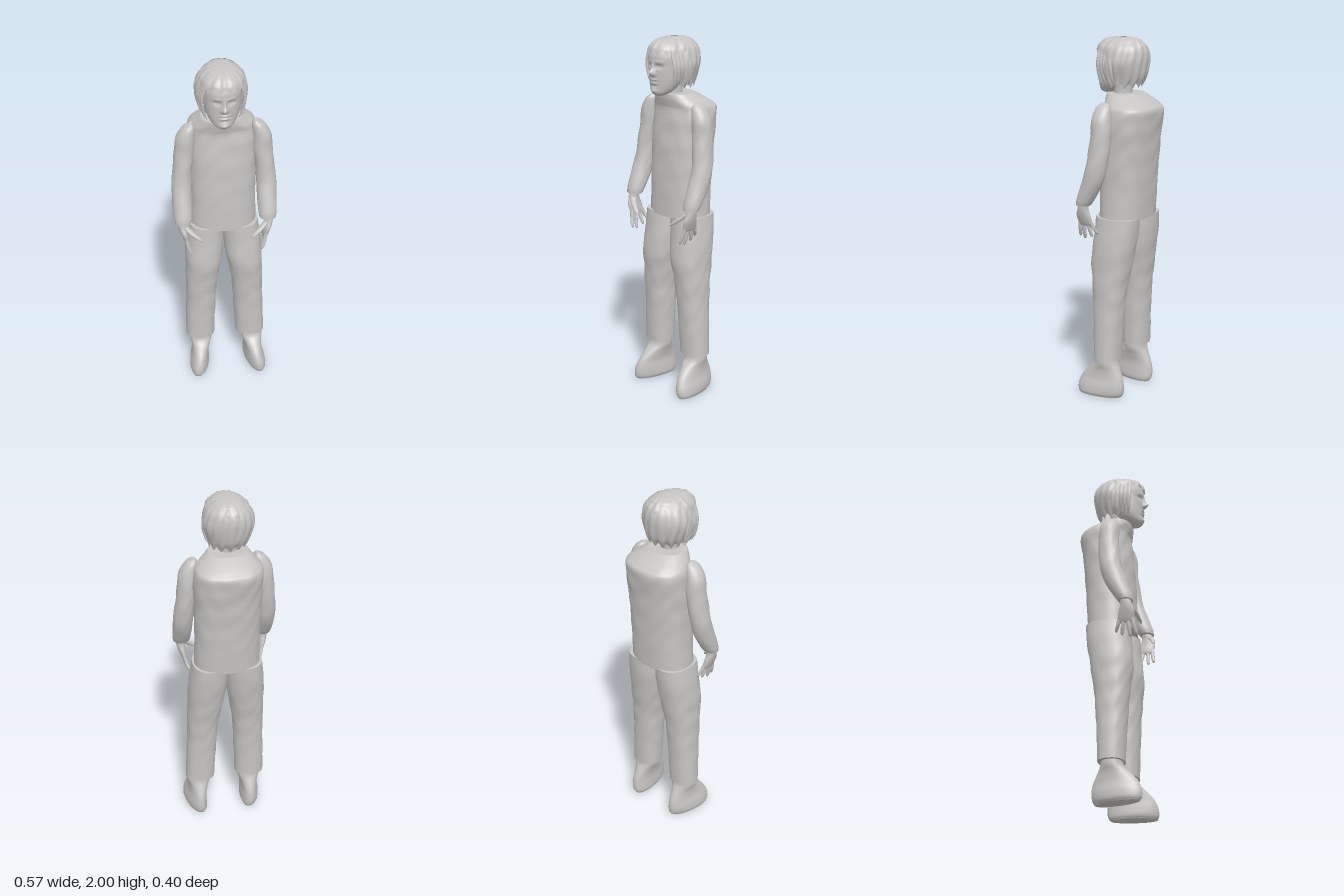
import * as THREE from 'three';

const grey = new THREE.MeshStandardMaterial({ color: 0xc6c5c3, side: THREE.DoubleSide });
grey.name = 'plain grey';

// Smooth loft through horizontal rings [y, x, z, rx, rz].
// Options: seg, rows per span, pow (2 = ellipse, more = boxier), arc [from, to], warp(v, angle, t).
function loft(name, rings, { seg = 28, rows = 5, pow = 2, arc = null, warp = null, side = 1, dx = 0, cap = true } = {}) {
  const list = rings[0][0] < rings[rings.length - 1][0] ? rings : [...rings].reverse();
  const centres = new THREE.CatmullRomCurve3(list.map(r => new THREE.Vector3(side * r[1] + dx * (1 - r[0]), r[0], r[2])), false, 'catmullrom');
  const radii = new THREE.CatmullRomCurve3(list.map(r => new THREE.Vector3(r[3], r[4], 0)), false, 'catmullrom');
  const n = (list.length - 1) * rows, cols = arc ? seg + 1 : seg;
  const pos = [], idx = [], v = new THREE.Vector3();
  const [a0, a1] = arc || [0, Math.PI * 2];
  const bend = c => Math.sign(c) * Math.pow(Math.abs(c), 2 / pow);
  for (let i = 0; i <= n; i++) {
    const t = i / n, c = centres.getPoint(t), r = radii.getPoint(t);
    for (let j = 0; j < cols; j++) {
      const a = a0 + (a1 - a0) * j / seg;
      v.set(c.x + bend(Math.cos(a)) * Math.max(r.x, 0.001), c.y, c.z + bend(Math.sin(a)) * Math.max(r.y, 0.001));
      if (warp) warp(v, a, t, c);
      pos.push(v.x, v.y, v.z);
    }
  }
  for (let i = 0; i < n; i++) for (let j = 0; j < seg; j++) {
    const p = i * cols + j, q = i * cols + (j + 1) % cols;
    idx.push(p, p + cols, q, q, p + cols, q + cols);
  }
  // End caps with their own vertices, for a crisp rim
  if (cap && !arc) for (const [row, up] of [[0, false], [n, true]]) {
    const base = pos.length / 3, mid = new THREE.Vector3();
    for (let j = 0; j < seg; j++) {
      const k = (row * cols + j) * 3;
      pos.push(pos[k], pos[k + 1], pos[k + 2]);
      mid.add(v.set(pos[k], pos[k + 1], pos[k + 2]));
    }
    mid.divideScalar(seg);
    pos.push(mid.x, mid.y, mid.z);
    for (let j = 0; j < seg; j++) {
      const p = base + j, q = base + (j + 1) % seg;
      idx.push(...(up ? [p, base + seg, q] : [p, q, base + seg]));
    }
  }
  const g = new THREE.BufferGeometry();
  g.setAttribute('position', new THREE.Float32BufferAttribute(pos, 3));
  g.setIndex(idx);
  g.computeVertexNormals();
  const mesh = new THREE.Mesh(g, grey);
  mesh.name = name;
  return mesh;
}

// Soft cloth dents
const cloth = amount => (v, a, t, c) => {
  const d = amount * (Math.sin(v.y * 38 + 2 * Math.sin(a * 3)) * Math.sin(a * 5 + v.y * 9)) * Math.sin(Math.PI * t);
  v.x += Math.cos(a) * d;
  v.z += Math.sin(a) * d;
};

function makeHead() {
  const head = new THREE.Group();
  head.name = 'head';
  const X = -0.012;
  // Face relief: x offset, y, width, height, depth
  const bumps = [
    [0, 1.822, 0.013, 0.015, 0.030], [0, 1.85, 0.010, 0.022, 0.012],
    [-0.013, 1.813, 0.007, 0.008, 0.008], [0.013, 1.813, 0.007, 0.008, 0.008],
    [-0.036, 1.856, 0.019, 0.011, -0.013], [0.036, 1.856, 0.019, 0.011, -0.013],
    [-0.036, 1.855, 0.010, 0.005, 0.006], [0.036, 1.855, 0.010, 0.005, 0.006],
    [-0.036, 1.88, 0.022, 0.007, 0.004], [0.036, 1.88, 0.022, 0.007, 0.004],
    [0, 1.783, 0.022, 0.005, 0.008], [0, 1.774, 0.026, 0.003, -0.005],
    [0, 1.766, 0.019, 0.005, 0.008], [0, 1.75, 0.022, 0.005, -0.005],
    [0, 1.722, 0.022, 0.012, 0.009],
  ];
  const face = (v, a) => {
    if (Math.sin(a) <= 0) return;
    let d = 0;
    for (const [x, y, w, h, k] of bumps)
      d += k * Math.exp(-(((v.x - X - x) / w) ** 2) - ((v.y - y) / h) ** 2);
    v.z += d;
  };
  head.add(loft('face', [
    [1.695, X, 0.115, 0.022, 0.028], [1.71, X, 0.105, 0.05, 0.052], [1.74, X, 0.085, 0.074, 0.075],
    [1.79, X, 0.066, 0.092, 0.096], [1.85, X, 0.05, 0.102, 0.114], [1.91, X, 0.045, 0.104, 0.12],
    [1.96, X, 0.04, 0.088, 0.1], [1.985, X, 0.04, 0.06, 0.07],
  ], { seg: 120, rows: 11, warp: face }));
  head.add(loft('neck', [[1.64, X, 0.02, 0.058, 0.056], [1.7, X, 0.02, 0.05, 0.05], [1.77, X, 0.02, 0.052, 0.055]]));

  // Hair round the sides and back, open at the face, with a ragged lower edge
  const ragged = (v, a, t) => {
    v.y += (1 - t) ** 3 * 0.012 * Math.sin(a * 13);
    const d = 0.003 * Math.sin(a * 17 + v.y * 22) * Math.sin(Math.PI * t);
    v.x += Math.cos(a) * d;
    v.z += Math.sin(a) * d;
  };
  head.add(loft('sideAndBackHair', [
    [1.745, -0.005, 0.0, 0.098, 0.085], [1.79, -0.012, -0.002, 0.115, 0.11], [1.86, -0.013, 0, 0.136, 0.125],
    [1.91, -0.013, 0.002, 0.13, 0.129], [1.95, -0.01, 0.004, 0.112, 0.12], [1.985, -0.01, 0.01, 0.078, 0.095],
  ], { seg: 72, arc: [Math.PI / 2 + 0.95, Math.PI * 2.5 - 0.95], warp: ragged }));
  head.add(loft('hairCrown', [
    [1.925, -0.011, 0.024, 0.12, 0.147], [1.955, -0.011, 0.023, 0.109, 0.138],
    [1.983, -0.011, 0.022, 0.078, 0.108], [1.996, -0.011, 0.018, 0.045, 0.07], [2.0, -0.011, 0.015, 0.012, 0.02],
  ], { seg: 72, warp: ragged, cap: false }));

  // Loose locks framing the face
  for (const s of [-1, 1]) for (let i = 0; i < 5; i++) {
    const z = 0.105 - i * 0.022, out = 0.104 + i * 0.005, low = 1.735 + 0.012 * (i % 3);
    head.add(loft('hairLock', [
      [low, X + s * (out - 0.02), z - 0.01, 0.002, 0.003], [low + 0.04, X + s * (out - 0.004), z - 0.004, 0.007, 0.01],
      [1.86, X + s * (out + 0.006), z, 0.009, 0.015], [1.94, X + s * (out - 0.016), z, 0.008, 0.014],
    ], { seg: 10 }));
  }
  return head;
}

function makeArm(s) {
  const arm = new THREE.Group();
  arm.name = s > 0 ? 'leftArm' : 'rightArm';
  arm.add(loft('sleeve', [
    [1.665, 0.172, 0.015, 0.01, 0.02], [1.64, 0.185, 0.015, 0.034, 0.042], [1.58, 0.203, 0.014, 0.051, 0.055],
    [1.5, 0.209, 0.012, 0.054, 0.058], [1.4, 0.222, 0.02, 0.052, 0.06], [1.3, 0.23, 0.035, 0.054, 0.06],
    [1.22, 0.231, 0.063, 0.053, 0.06], [1.14, 0.231, 0.1, 0.051, 0.05], [1.105, 0.231, 0.115, 0.045, 0.04],
  ], { side: s, warp: cloth(0.002) }));
  // Hand hanging with the fingers spread
  arm.add(loft('palm', [
    [1.13, 0.235, 0.11, 0.028, 0.03], [1.085, 0.235, 0.117, 0.025, 0.032], [1.045, 0.229, 0.118, 0.021, 0.045],
    [1.005, 0.219, 0.112, 0.016, 0.046], [0.985, 0.214, 0.11, 0.01, 0.04],
  ], { side: s, seg: 20 }));
  for (const [z0, z1, tip] of [[0.146, 0.16, 0.915], [0.122, 0.13, 0.905], [0.098, 0.086, 0.918], [0.076, 0.053, 0.938]])
    arm.add(loft('finger', [
      [1.01, 0.219, z0, 0.01, 0.012], [(1.01 + tip) / 2, 0.21, (z0 + z1) / 2, 0.01, 0.011],
      [tip + 0.012, 0.199, z1, 0.008, 0.009], [tip, 0.196, z1, 0.002, 0.002],
    ], { side: s, seg: 12 }));
  arm.add(loft('thumb', [
    [1.085, 0.222, 0.135, 0.016, 0.018], [1.05, 0.185, 0.158, 0.018, 0.014],
    [1.022, 0.152, 0.17, 0.014, 0.011], [1.008, 0.135, 0.174, 0.004, 0.005],
  ], { side: s, seg: 14 }));
  return arm;
}

function makeLeg(s) {
  const leg = new THREE.Group();
  leg.name = s > 0 ? 'leftLeg' : 'rightLeg';
  leg.add(loft('trouserLeg', [
    [1.03, 0.098, -0.02, 0.096, 0.125], [0.92, 0.104, -0.012, 0.104, 0.123], [0.8, 0.113, 0.003, 0.103, 0.118],
    [0.7, 0.123, 0.008, 0.094, 0.106], [0.6, 0.131, 0.009, 0.088, 0.093], [0.5, 0.135, 0.01, 0.085, 0.085],
    [0.35, 0.142, 0.01, 0.084, 0.077], [0.225, 0.146, 0.01, 0.083, 0.072],
  ], { side: s, dx: 0.011, pow: 2.3, warp: cloth(0.003) }));
  // Shoe, toe turned outward
  leg.add(loft('shoe', [
    [0.25, 0.148, 0.012, 0.066, 0.058], [0.2, 0.149, 0.012, 0.066, 0.064], [0.16, 0.152, 0.022, 0.055, 0.092],
    [0.11, 0.158, 0.032, 0.049, 0.124], [0.06, 0.163, 0.039, 0.055, 0.138], [0.02, 0.164, 0.042, 0.056, 0.136],
    [0, 0.164, 0.044, 0.047, 0.124],
  ], { side: s, dx: 0.018, pow: 2.1, warp: (v, a, t, c) => { v.x += s * 0.16 * (v.z - c.z) * (1 - t); } }));
  return leg;
}

export function createModel() {
  const model = new THREE.Group();
  model.name = 'standingFigure';
  model.add(loft('tunic', [
    [1.02, 0, -0.02, 0.183, 0.131], [1.2, 0, -0.027, 0.179, 0.136], [1.4, 0, -0.038, 0.183, 0.139],
    [1.54, 0, -0.052, 0.187, 0.141], [1.615, 0, -0.06, 0.183, 0.14], [1.645, -0.002, -0.046, 0.168, 0.13],
    [1.675, -0.008, -0.02, 0.135, 0.112], [1.7, -0.012, 0.004, 0.108, 0.092],
  ], { seg: 64, rows: 8, pow: 2.3, warp: cloth(0.003) }));
  model.add(makeHead());
  for (const s of [-1, 1]) model.add(makeArm(s), makeLeg(s));
  return model;
}
